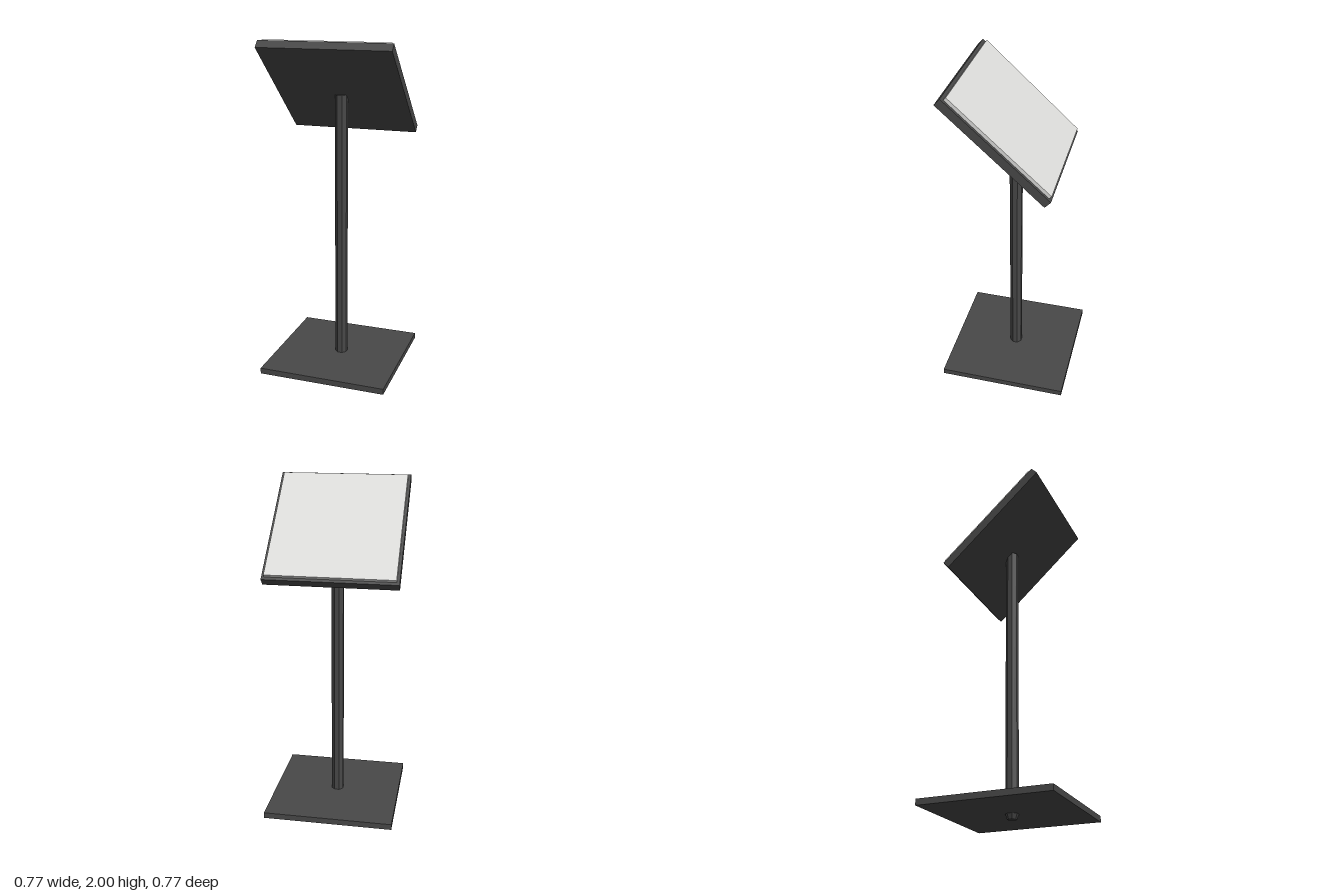
import * as THREE from 'three';

export function createModel() {
  const group = new THREE.Group();
  group.name = 'displayStand';

  const darkMetal = new THREE.MeshStandardMaterial({ color: 0x484848, flatShading: true });
  darkMetal.name = 'dark metal';
  const paleSheet = new THREE.MeshStandardMaterial({ color: 0xdcdcda, flatShading: true });
  paleSheet.name = 'pale sheet';

  const add = (parent, name, geometry, material, y) => {
    const mesh = new THREE.Mesh(geometry, material);
    mesh.name = name;
    mesh.position.y = y;
    parent.add(mesh);
    return mesh;
  };

  // Square floor plate
  add(group, 'base', new THREE.BoxGeometry(0.77, 0.035, 0.77), darkMetal, 0.0485);

  // Eight-sided post, with a flat facing each side
  const post = new THREE.CylinderGeometry(0.038, 0.038, 1.655, 8).rotateY(Math.PI / 8);
  add(group, 'post', post, darkMetal, 0.8575);

  // Tapered post end under the plate
  const foot = new THREE.CylinderGeometry(0.038, 0.027, 0.03, 8).rotateY(Math.PI / 8);
  add(group, 'postFoot', foot, darkMetal, 0.015);

  // Sloped panel, its upper face turned towards the back
  const panel = new THREE.Group();
  panel.name = 'panel';
  panel.position.set(0, 1.7235, 0.022);
  panel.rotation.x = -0.738;
  add(panel, 'panelBoard', new THREE.BoxGeometry(0.77, 0.05, 0.773), darkMetal, 0);
  add(panel, 'panelSheet', new THREE.BoxGeometry(0.737, 0.02, 0.737), paleSheet, 0.035);
  group.add(panel);

  return group;
}
